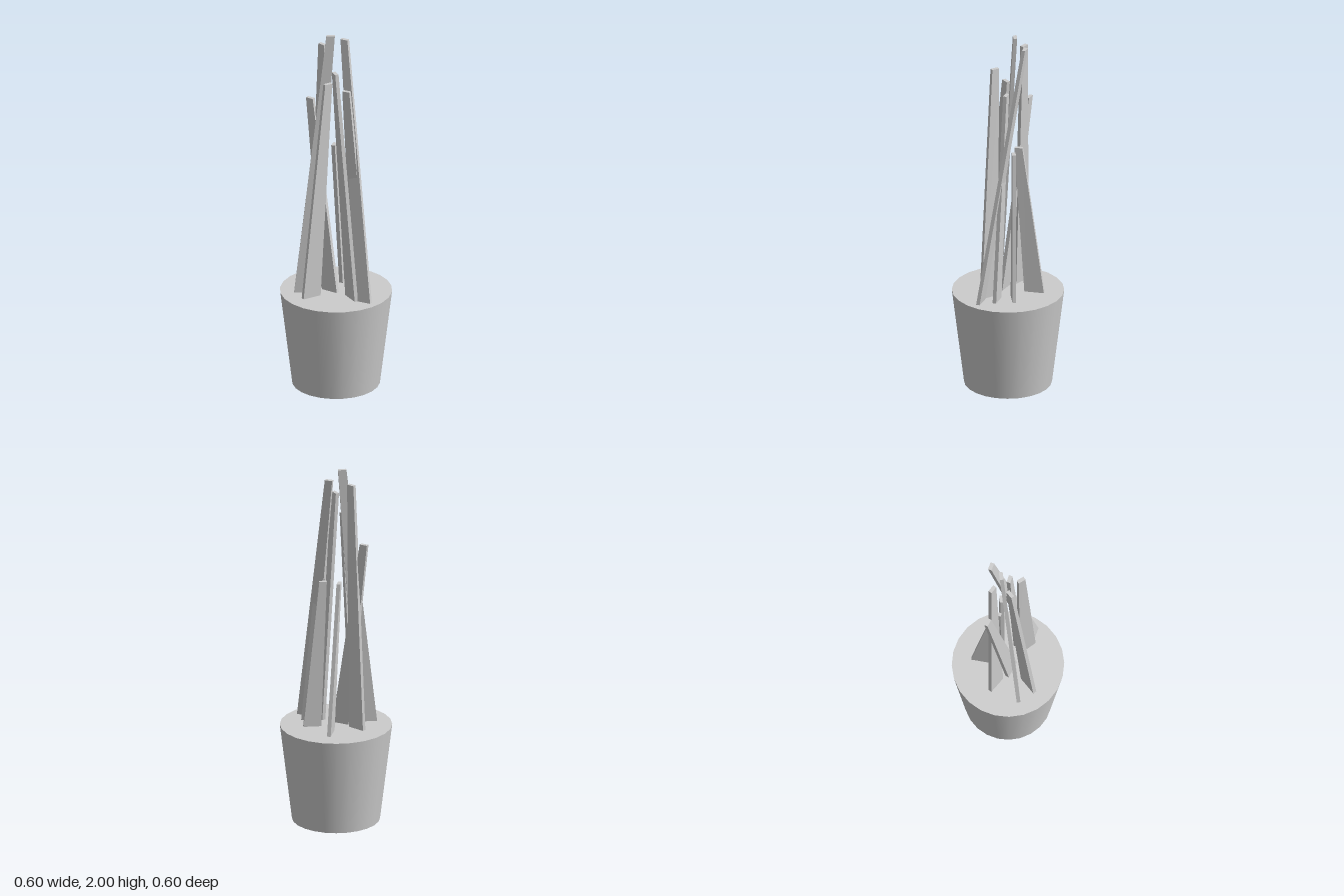
import * as THREE from 'three';

const POT_HEIGHT = 0.535;

// Flat tapering leaf: base and top are each a line [x0, z0, x1, z1] given a thickness
function bladeGeometry(base, top, height, thickness = 0.02) {
  const geo = new THREE.BoxGeometry(1, 1, 1);
  const pos = geo.attributes.position;
  for (let i = 0; i < pos.count; i++) {
    const upper = pos.getY(i) > 0;
    const [x0, z0, x1, z1] = upper ? top : base;
    const len = Math.hypot(x1 - x0, z1 - z0);
    const dx = (x1 - x0) / len, dz = (z1 - z0) / len;
    const t = pos.getX(i) + 0.5;
    const side = pos.getZ(i) * thickness;
    pos.setXYZ(
      i,
      x0 + (x1 - x0) * t - dz * side,
      upper ? height : POT_HEIGHT - 0.01,
      z0 + (z1 - z0) * t + dx * side
    );
  }
  geo.computeVertexNormals();
  return geo;
}

export function createModel() {
  const group = new THREE.Group();
  const grey = new THREE.MeshStandardMaterial({ color: 0xcccccc });
  grey.name = 'light grey';

  // Tapered pot, closed at both ends
  const pot = new THREE.Mesh(new THREE.CylinderGeometry(0.3, 0.235, POT_HEIGHT, 24), grey);
  pot.position.y = POT_HEIGHT / 2;
  pot.name = 'pot';
  group.add(pot);

  // Leaves leaning inwards: base line, top line, tip height
  const leaves = [
    [[-0.22, 0.052, -0.11, 0.043], [-0.055, -0.035, -0.01, -0.039], 2.0],
    [[0.125, 0.13, 0.205, 0.16], [0.018, -0.097, 0.057, -0.082], 1.96],
    [[-0.15, -0.1, -0.075, -0.035], [-0.098, -0.098, -0.065, -0.072], 1.93],
    [[0.065, 0.06, 0.125, 0.145], [-0.008, 0.052, 0.014, 0.088], 1.83],
    [[-0.165, 0.14, -0.08, 0.076], [-0.06, 0.024, -0.025, -0.002], 1.74],
    [[0.1, 0.043, 0.183, 0.071], [0.038, 0.003, 0.077, 0.016], 1.7],
    [[-0.07, -0.005, 0.015, 0.04], [-0.168, -0.122, -0.13, -0.102], 1.6],
    [[0.08, -0.025, 0.175, -0.036], [0.05, -0.03, 0.09, -0.034], 1.36],
    [[0.04, -0.195, 0.018, -0.09], [-0.012, -0.078, -0.02, -0.036], 1.36],
  ];
  const foliage = new THREE.Group();
  foliage.name = 'leaves';
  leaves.forEach(([base, top, height], i) => {
    const leaf = new THREE.Mesh(bladeGeometry(base, top, height), grey);
    leaf.name = `leaf${i + 1}`;
    foliage.add(leaf);
  });
  group.add(foliage);

  return group;
}
